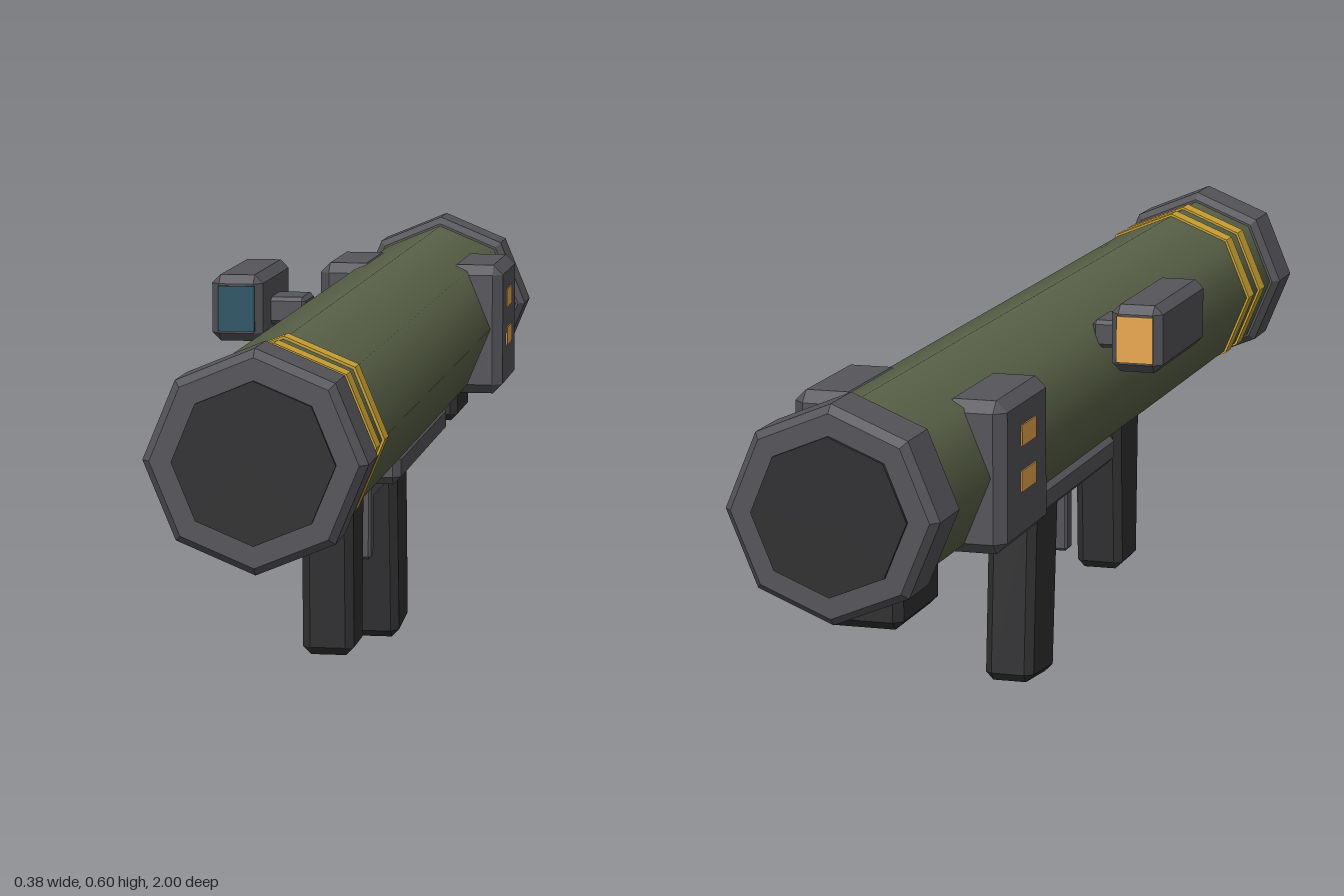
import * as THREE from 'three';
import { ConvexGeometry } from 'three/addons/geometries/ConvexGeometry.js';

const CX = 0.035, CY = 0.45; // tube axis

const mat = (color, flatShading = true) => new THREE.MeshStandardMaterial({ color, flatShading });
const green = mat(0x5a6248, false), metal = mat(0x55555a), dark = mat(0x303032), bore = mat(0x303032, false);
const yellow = mat(0xc9a234), amber = mat(0xeba850), teal = mat(0x2c5566);

// Box with chamfered edges, given by its bounds; taper shrinks the depth at the bottom
function chamferBox([x0, x1], [y0, y1], [z0, z1], c, taper = 1) {
  const half = [(x1 - x0) / 2, (y1 - y0) / 2, (z1 - z0) / 2], points = [];
  for (const sx of [-1, 1]) for (const sy of [-1, 1]) for (const sz of [-1, 1])
    for (let axis = 0; axis < 3; axis++) {
      const p = [sx, sy, sz].map((s, i) => s * (half[i] - (i === axis ? 0 : c)));
      if (sy < 0) p[2] *= taper;
      points.push(new THREE.Vector3(...p));
    }
  const g = new ConvexGeometry(points);
  g.translate((x0 + x1) / 2, (y0 + y1) / 2, (z0 + z1) / 2);
  return g;
}

export function createModel() {
  const group = new THREE.Group();
  const add = (name, geometry, material) => {
    const m = new THREE.Mesh(geometry, material);
    m.name = name;
    group.add(m);
    return m;
  };
  // Eight-sided turned part along z; profile is [radius, z] from back to front
  const turned = (name, profile, material) => {
    const g = new THREE.LatheGeometry(profile.map(([r, z]) => new THREE.Vector2(r, z)), 8);
    g.rotateX(Math.PI / 2);
    g.translate(CX, CY, 0);
    return add(name, g, material);
  };

  // Launch tube with yellow bands
  turned('tube', [[0.135, -0.95], [0.135, 0.95]], green);
  for (const z of [0.743, 0.82])
    turned('band', [[0.13, z - 0.018], [0.139, z - 0.018], [0.139, z + 0.018], [0.13, z + 0.018]], yellow);

  // End collars and dark bores
  for (const [name, mid] of [['front', 0.943], ['rear', -0.943]]) {
    turned(name + 'Collar', [[0, mid - 0.052], [0.139, mid - 0.052], [0.15, mid - 0.04],
      [0.15, mid + 0.04], [0.139, mid + 0.052], [0, mid + 0.052]], metal);
    const cap = new THREE.CylinderGeometry(0.109, 0.109, 0.05, 8);
    cap.rotateX(Math.PI / 2);
    cap.translate(CX, CY, Math.sign(mid) * 0.975);
    add(name + 'Bore', cap, bore);
  }

  // Side housings with two indicator lights each
  for (const s of [-1, 1]) {
    const span = [CX + s * 0.06, CX + s * 0.154].sort((a, b) => a - b);
    add(s > 0 ? 'leftHousing' : 'rightHousing', chamferBox(span, [0.34, 0.556], [-0.72, -0.505], 0.016), metal);
    for (const y of [0.43, 0.495]) {
      const light = add('indicatorLight', new THREE.BoxGeometry(0.008, 0.03, 0.067), amber);
      light.position.set(CX + s * 0.152, y, -0.608);
    }
  }

  // Underside: rail, rear block, grips
  add('rail', chamferBox([CX - 0.072, CX + 0.072], [0.285, 0.335], [-0.43, 0.13], 0.012), metal);
  add('rearBlock', chamferBox([CX - 0.055, CX + 0.055], [0.265, 0.345], [-0.87, -0.7], 0.012), dark);
  add('frontGrip', chamferBox([CX - 0.038, CX + 0.038], [0.07, 0.34], [0.267, 0.393], 0.012, 0.8), dark);
  const grip = add('rearGrip', chamferBox([-0.038, 0.038], [-0.14, 0.14], [-0.065, 0.065], 0.012, 0.95), dark);
  grip.position.set(CX, 0.147, -0.145);
  grip.rotation.x = 0.09;

  // Trigger guard
  add('guardBar', chamferBox([CX - 0.018, CX + 0.018], [0.25, 0.272], [-0.09, 0.068], 0.004), metal);
  add('guardPost', chamferBox([CX - 0.018, CX + 0.018], [0.158, 0.272], [0.038, 0.068], 0.004), metal);

  // Sight on the right side with its mount and lenses
  add('sight', chamferBox([-0.193, -0.114], [0.495, 0.597], [-0.178, 0.084], 0.013), metal);
  add('sightMount', chamferBox([-0.125, -0.06], [0.513, 0.555], [-0.088, 0], 0.006), metal);
  for (const [name, z, m] of [['frontLens', 0.083, teal], ['rearLens', -0.177, amber]])
    add(name, new THREE.BoxGeometry(0.056, 0.07, 0.008), m).position.set(-0.153, 0.546, z);

  return group;
}
